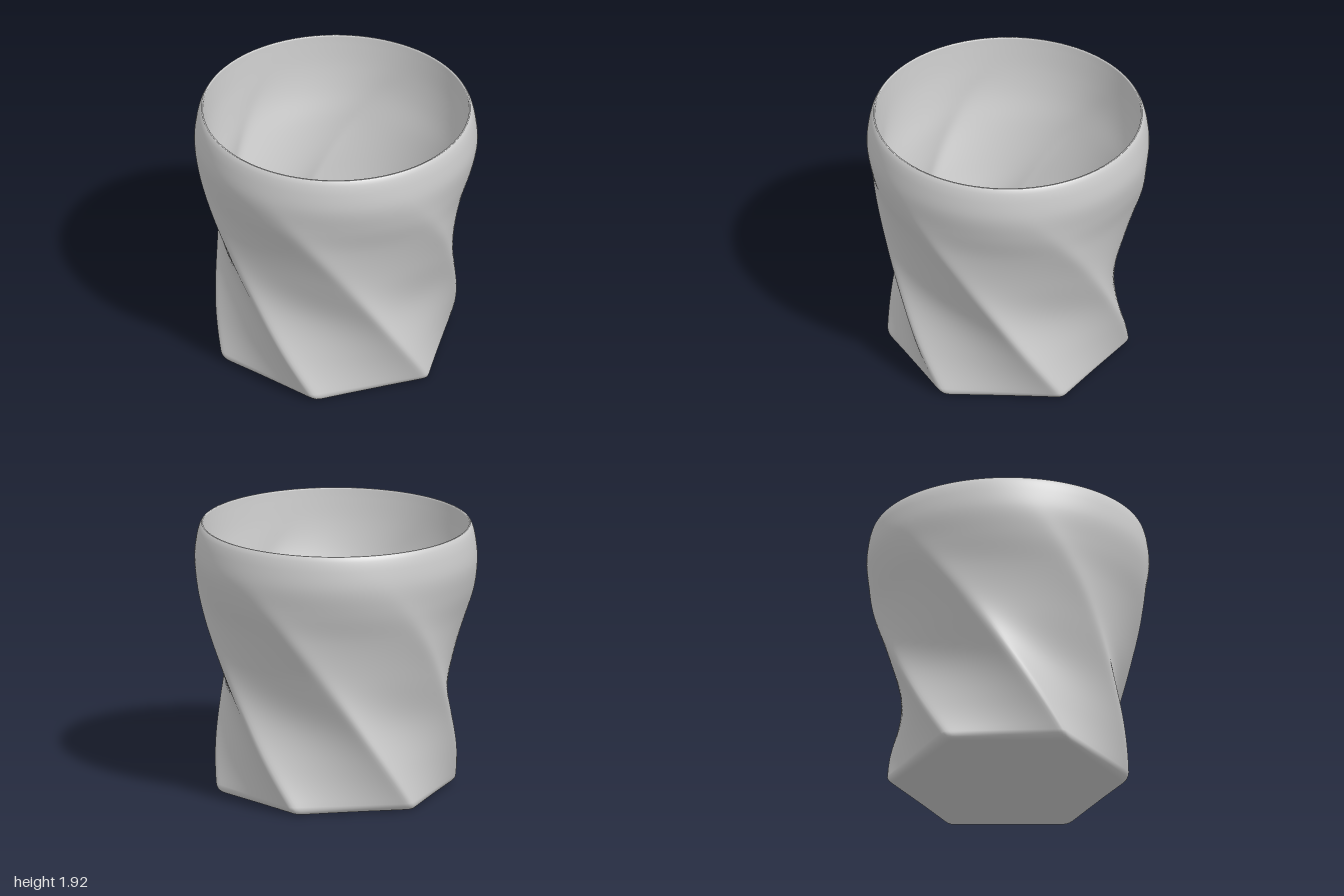
import * as THREE from 'three';

const HEIGHT = 1.925;
const SEGMENTS = 240;

// Rounded hexagon factor: 0 at the middle of a flat, 1 at a corner.
function hexFactor(angle, n) {
  const radius = (a) => {
    let sum = 0;
    for (let k = 0; k < 6; k++) {
      const c = Math.cos(a - Math.PI / 6 - k * Math.PI / 3);
      if (c > 0) sum += Math.pow(c, n);
    }
    return Math.pow(sum, -1 / n);
  };
  const flat = radius(Math.PI / 6);
  return (radius(angle) - flat) / (radius(0) - flat);
}

// Smooth wall through keys [height, corner radius, flat radius].
function wall(keys, count) {
  const curve = new THREE.CatmullRomCurve3(keys.map(([y, v, a]) => new THREE.Vector3(v, y, a)));
  return curve.getPoints(count).map((p) => [p.y, p.x, p.z]);
}

// Quarter-round between a floor at height y and a wall that starts at radii v, a.
function fillet(y, r, v, a) {
  const rows = [];
  for (let i = 0; i < 8; i++) {
    const t = (i / 8) * Math.PI / 2;
    const inset = r * (1 - Math.sin(t));
    rows.push([y + r * (1 - Math.cos(t)), v - inset, a - inset]);
  }
  return rows;
}

// Flat disc rows from the centre outwards.
function disc(y, v, a) {
  return [0, 0.4, 0.8, 0.97].map((s) => [y, v * s, a * s]);
}

export function createModel() {
  // Outside: underside, rounded foot, then the wall turning from hexagon to circle
  const outer = [
    ...disc(0, 0.79, 0.685),
    ...fillet(0, 0.06, 0.85, 0.745),
    ...wall([
      [0.06, 0.85, 0.745], [0.3, 0.85, 0.745], [0.64, 0.85, 0.75], [0.96, 0.88, 0.82],
      [1.28, 0.94, 0.895], [1.5, 0.98, 0.96], [1.68, 0.997, 0.993], [1.82, 0.982, 0.982],
      [1.89, 0.965, 0.965], [1.915, 0.953, 0.953], [HEIGHT, 0.945, 0.945],
    ], 60),
  ];
  // Inside, listed from the floor up and reversed
  const inner = [
    ...disc(0.12, 0.64, 0.56),
    ...fillet(0.12, 0.09, 0.74, 0.65),
    ...wall([
      [0.21, 0.74, 0.65], [0.64, 0.755, 0.66], [0.96, 0.79, 0.73], [1.28, 0.855, 0.81],
      [1.5, 0.895, 0.875], [1.68, 0.915, 0.911], [1.85, 0.93, 0.93], [HEIGHT, 0.936, 0.936],
    ], 45),
  ].reverse();
  const rows = [...outer, ...inner];

  // Skin the rows, turning each with its height
  const positions = [], index = [];
  rows.forEach(([y, v, a], i) => {
    const twist = (y / HEIGHT) * Math.PI / 2;
    for (let j = 0; j < SEGMENTS; j++) {
      const angle = (j / SEGMENTS) * Math.PI * 2;
      const r = a + (v - a) * hexFactor(angle, 60 - 22 * y);
      positions.push(r * Math.cos(angle + twist), y, r * Math.sin(angle + twist));
      if (i === rows.length - 1) continue;
      const k = (j + 1) % SEGMENTS;
      const p = i * SEGMENTS + j, q = i * SEGMENTS + k;
      index.push(p, p + SEGMENTS, q, q, p + SEGMENTS, q + SEGMENTS);
    }
  });
  const geometry = new THREE.BufferGeometry();
  geometry.setAttribute('position', new THREE.Float32BufferAttribute(positions, 3));
  geometry.setIndex(index);
  geometry.computeVertexNormals();

  const cup = new THREE.Mesh(geometry, new THREE.MeshStandardMaterial({ color: 0xcccccc }));
  cup.name = 'twistedCup';
  const group = new THREE.Group();
  group.name = 'cup';
  group.add(cup);
  return group;
}
